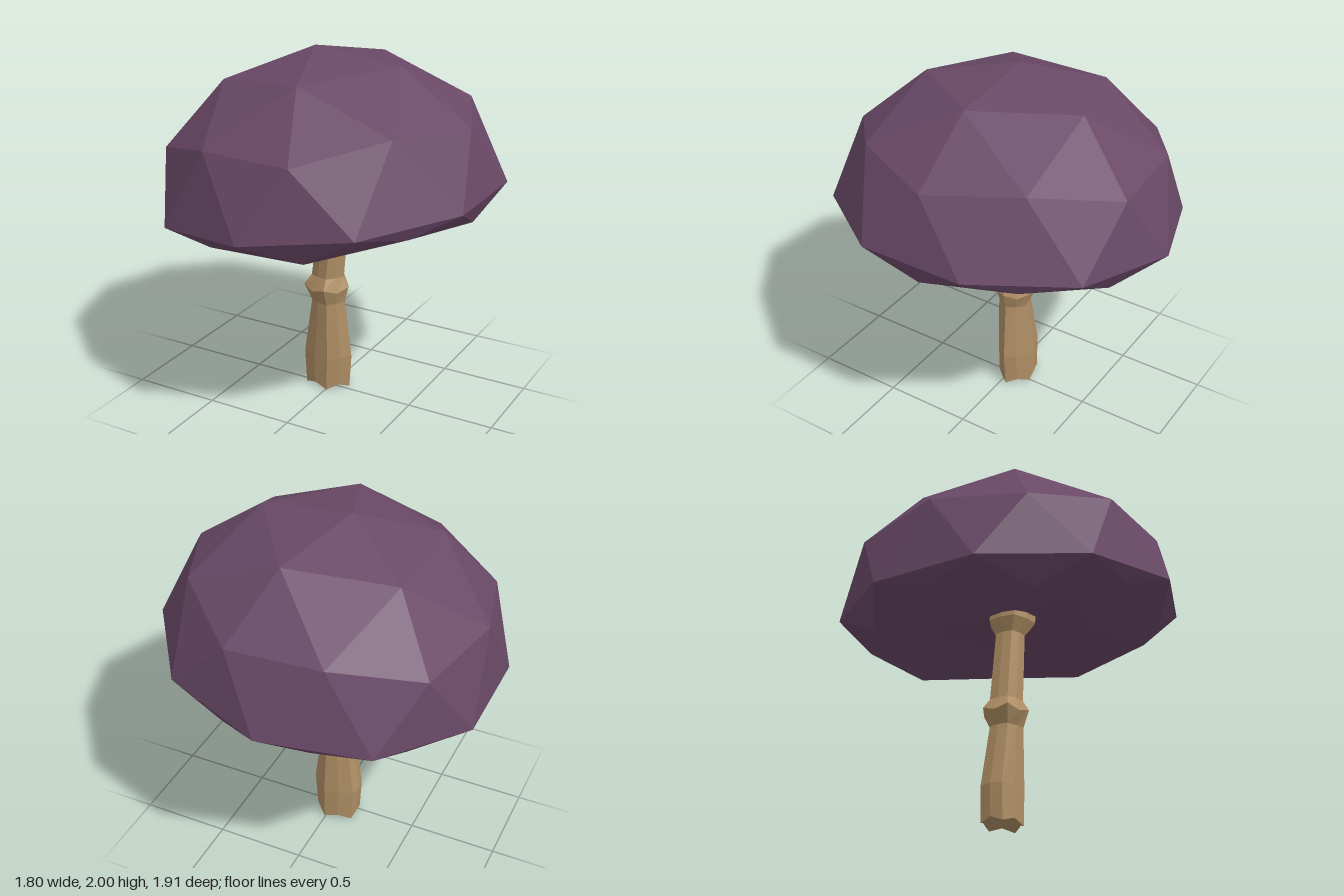
import * as THREE from 'three';

const capMaterial = new THREE.MeshStandardMaterial({ color: 0x6a4967, flatShading: true });
const stemMaterial = new THREE.MeshStandardMaterial({ color: 0xb08f65, flatShading: true });

// Faceted dome: an icosphere standing on a vertex, its lower half pushed up into a shallow hollow
function createCap() {
  const geometry = new THREE.IcosahedronGeometry(1, 1);
  geometry.rotateZ(-Math.atan(2 / (1 + Math.sqrt(5))));
  const p = geometry.attributes.position;
  for (let i = 0; i < p.count; i++) {
    const y = p.getY(i);
    const shift = y < -0.2 ? 0.012 : 0; // the underside sits slightly to one side
    let height = y * 0.8;
    if (y < -0.95) height = 0.03;        // middle of the ceiling
    else if (y < -0.7) height = -0.01;   // inner ring of the ceiling
    else if (y < -0.49) height = -0.135; // lip, low points
    else if (y < -0.2) height = -0.07;   // lip, high points
    p.setXYZ(i, p.getX(i) * 0.956 + shift, height, p.getZ(i) * 0.956);
  }
  geometry.computeVertexNormals();
  const cap = new THREE.Mesh(geometry, capMaterial);
  cap.name = 'cap';
  cap.position.y = 1.206;
  cap.rotation.z = THREE.MathUtils.degToRad(7);
  return cap;
}

// Fluted stem: star-shaped rings, each [height, centre x, centre z, radius x, radius z]
function createStem() {
  const rings = [
    [0.01, -0.037, -0.033, 0.133, 0.107],
    [0.2, -0.036, -0.03, 0.146, 0.105],
    [0.54, -0.025, -0.017, 0.097, 0.09],
    [0.625, -0.035, -0.017, 0.131, 0.125],
    [0.695, -0.028, -0.017, 0.095, 0.09],
    [1.11, 0.016, -0.018, 0.082, 0.082],
    [1.19, 0.035, -0.017, 0.135, 0.13],
    [1.25, 0.04, -0.017, 0.135, 0.13],
  ];
  const sides = 10;
  const positions = [];
  const index = [];
  rings.forEach(([y, cx, cz, rx, rz], r) => {
    for (let i = 0; i < sides; i++) {
      const a = (i / sides) * Math.PI * 2;
      const flute = i % 2 ? 0.92 : 1.03;
      const ragged = r === 0 ? (i % 2 ? 0.015 : -0.01) : r === 3 ? (i % 2 ? -0.012 : 0.012) : 0;
      positions.push(cx + Math.cos(a) * rx * flute, y + ragged, cz - Math.sin(a) * rz * flute);
    }
  });
  for (let r = 0; r < rings.length - 1; r++) {
    for (let i = 0; i < sides; i++) {
      const a = r * sides + i;
      const b = r * sides + ((i + 1) % sides);
      index.push(a, b, b + sides, a, b + sides, a + sides);
    }
  }
  // Close both ends
  const top = (rings.length - 1) * sides;
  const bottomCentre = rings.length * sides;
  positions.push(-0.037, 0.02, -0.033, 0.04, 1.25, -0.017);
  for (let i = 0; i < sides; i++) {
    const j = (i + 1) % sides;
    index.push(bottomCentre, j, i, bottomCentre + 1, top + i, top + j);
  }
  const indexed = new THREE.BufferGeometry();
  indexed.setAttribute('position', new THREE.Float32BufferAttribute(positions, 3));
  indexed.setIndex(index);
  const geometry = indexed.toNonIndexed();
  geometry.computeVertexNormals();
  const stem = new THREE.Mesh(geometry, stemMaterial);
  stem.name = 'stem';
  return stem;
}

export function createModel() {
  const mushroom = new THREE.Group();
  mushroom.name = 'mushroom';
  mushroom.add(createCap(), createStem());
  return mushroom;
}
